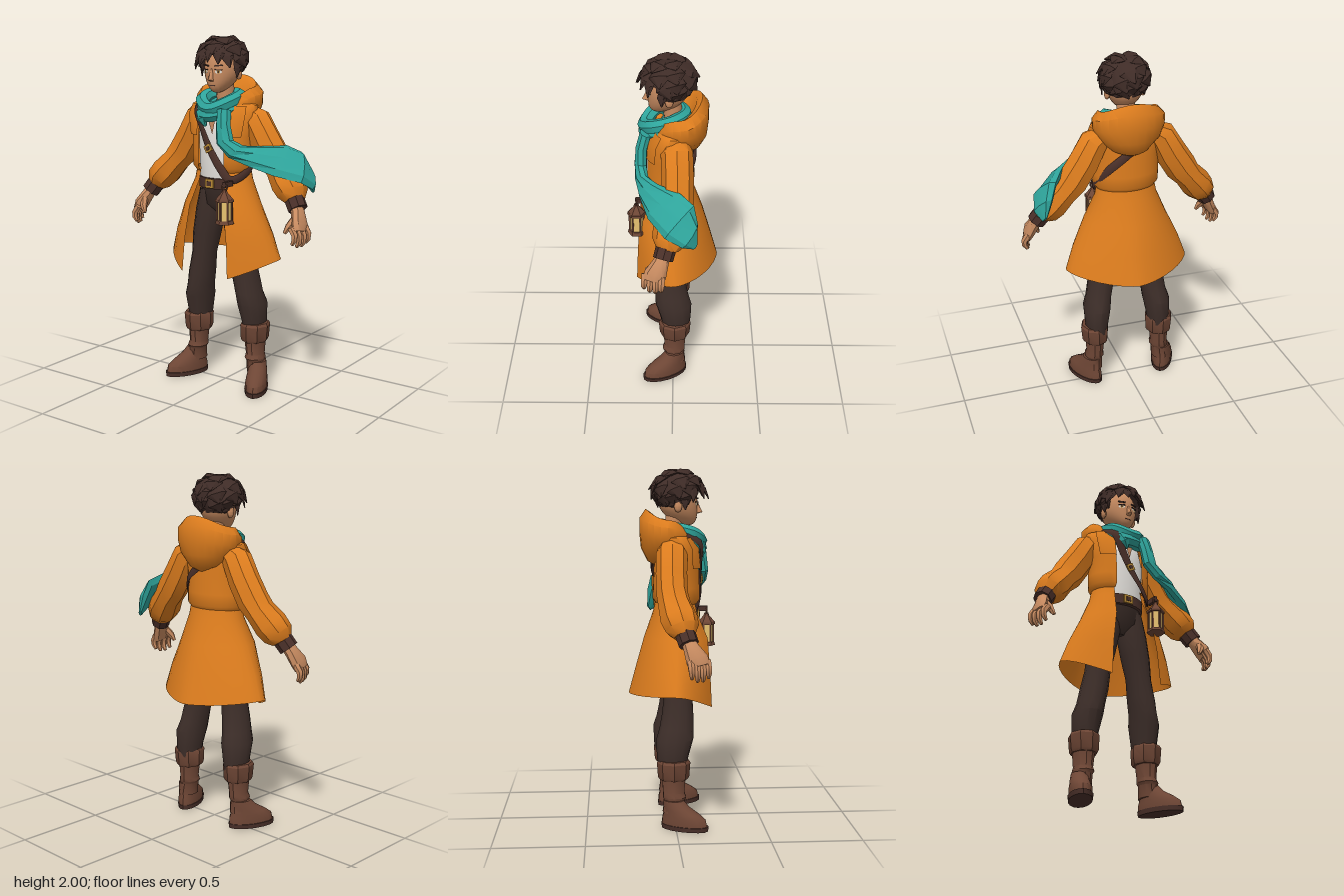
import * as THREE from 'three';
import { toCreasedNormals } from 'three/addons/utils/BufferGeometryUtils.js';

const V = (x, y, z) => new THREE.Vector3(x, y, z);
const paint = (name, color, side = THREE.FrontSide) => {
  const m = new THREE.MeshStandardMaterial({ color, side });
  m.name = name;
  return m;
};

// Skin a list of point rings; winding faces outward for rings turning about the travel direction.
function grid(rings, wrap, cap) {
  const n = rings[0].length, pos = [], idx = [];
  rings.forEach(r => r.forEach(p => pos.push(p.x, p.y, p.z)));
  for (let i = 0; i < rings.length - 1; i++) {
    for (let j = 0; j < (wrap ? n : n - 1); j++) {
      const a = i * n + j, b = i * n + (j + 1) % n, c = b + n, d = a + n;
      idx.push(a, b, d, b, c, d);
    }
  }
  if (cap) {
    const last = (rings.length - 1) * n;
    for (let j = 1; j < n - 1; j++) idx.push(0, j + 1, j, last, last + j, last + j + 1);
  }
  const g = new THREE.BufferGeometry();
  g.setAttribute('position', new THREE.Float32BufferAttribute(pos, 3));
  g.setIndex(idx);
  return g;
}

// Loft of elliptical sections [x, y, z, a, b]; "across" may fix the direction of a per section.
function loft(secs, n = 10, { ref = () => V(0, 0, 1), across, upright = false, closed = false } = {}) {
  const c = secs.map(s => V(s[0], s[1], s[2])), m = c.length;
  const rings = secs.map((s, i) => {
    const p = closed ? c[(i + m - 1) % m] : c[Math.max(i - 1, 0)];
    const q = closed ? c[(i + 1) % m] : c[Math.min(i + 1, m - 1)];
    const t = upright ? V(0, Math.sign(q.y - p.y), 0) : q.clone().sub(p).normalize();
    const u = across ? across(i) : t.clone().cross(ref(c[i])).normalize();
    const v = t.clone().cross(u).normalize();
    return Array.from({ length: n }, (_, j) => {
      const k = (j / n) * Math.PI * 2;
      return c[i].clone().addScaledVector(u, Math.cos(k) * s[3]).addScaledVector(v, Math.sin(k) * (s[4] ?? s[3]));
    });
  });
  if (closed) rings.push(rings[0]);
  return grid(rings, true, !closed);
}

// Cloth around the body, rows [y, rx, zCentre, rz, frontGap, frontLift, backLift, power], bottom to top.
function sheet(rows, n = 28, from = 0, to = 1, grow = 0) {
  return grid(rows.map(([y, rx, zc, rz, gap = 0, fl = 0, bl = 0, p = 1]) => {
    const g = Math.asin((gap / rx) ** (1 / p)), pow = a => Math.sign(a) * Math.abs(a) ** p;
    return Array.from({ length: n + 1 }, (_, j) => {
      const k = g + (from + (to - from) * j / n) * (Math.PI * 2 - 2 * g), c = Math.cos(k);
      return V((rx + grow) * pow(Math.sin(k)), y + (c > 0 ? fl : bl) * c * c, zc + (rz + grow) * pow(c));
    });
  }), false, false);
}

export function createModel() {
  const root = new THREE.Group();
  root.name = 'traveller';
  const orange = paint('orange coat', 0xdd7d1e, THREE.DoubleSide), teal = paint('teal scarf', 0x2fa59c);
  const trouser = paint('dark trousers', 0x3d2e29), hair = paint('dark hair', 0x3f2c27);
  const leather = paint('boot leather', 0x6e4635), strapBrown = paint('strap leather', 0x4a3029);
  const skin = paint('skin', 0xc98c61), white = paint('shirt white', 0xe2dfda);
  const gold = paint('brass', 0xb98a35), glass = paint('lantern glow', 0xecc673);

  const add = (name, geo, mat, crease = 0.8, parent = root) => {
    const m = new THREE.Mesh(toCreasedNormals(geo, crease), mat);
    m.name = name;
    parent.add(m);
    return m;
  };
  const box = (name, w, h, d, x, y, z, mat, parent = root) => {
    const m = add(name, new THREE.BoxGeometry(w, h, d), mat, 0.5, parent);
    m.position.set(x, y, z);
    return m;
  };
  const up = { upright: true };

  // Shirt, neck and pelvis
  add('shirt', loft([[0, 1.18, .02, .14, .108], [0, 1.45, .02, .15, .112], [0, 1.57, .01, .13, .1], [0, 1.63, 0, .06, .06]], 20, up), white);
  add('neck', loft([[0, 1.55, -.01, .06], [0, 1.65, 0, .05], [0, 1.75, .01, .052]], 12, up), skin);
  const vee = new THREE.Shape([new THREE.Vector2(-.035, 1.58), new THREE.Vector2(.005, 1.46), new THREE.Vector2(.035, 1.58)]);
  add('open collar', new THREE.ShapeGeometry(vee), skin).position.z = .136;
  add('trouser waist', loft([[0, 1.0, .02, .04, .04], [0, 1.06, .02, .135, .088], [0, 1.2, .02, .135, .105]], 16, up), trouser);
  add('belt', loft([[0, 1.155, .02, .145, .12], [0, 1.215, .02, .147, .12]], 20, up), strapBrown);
  box('belt buckle', .055, .05, .012, -.01, 1.185, .141, gold);
  box('buckle inset', .03, .026, .006, -.01, 1.185, .147, strapBrown);

  // Coat: skirt, jacket and lapels
  add('coatSkirt', sheet([[.77, .362, 0, .255, .155, -.13, -.035, 1.3], [.9, .315, .012, .225, .142, -.04, -.01, 1.2],
    [1.06, .24, .025, .19, .115, 0, 0, 1.1], [1.2, .178, .015, .13, .09], [1.27, .165, .015, .115, .085]]), orange);
  const jacket = [[1.25, .168, .02, .12, .085], [1.275, .187, .02, .137, .085], [1.34, .19, .02, .135, .085], [1.45, .192, .02, .13, .085],
    [1.56, .22, .015, .12, .09], [1.62, .205, 0, .1, .09], [1.67, .11, -.01, .08, .08]];
  add('coatJacket', sheet(jacket), orange);
  const lapel = jacket.slice(3, 6);
  add('lapelLeft', sheet(lapel, 5, 0, .1, .012), orange);
  add('lapelRight', sheet(lapel, 5, .9, 1, .012), orange);

  // Hood lying on the back
  add('hood', sheet([[1.48, .05, -.05, .05, 0, 0, -.02], [1.505, .12, -.04, .105, 0, 0, -.02], [1.56, .175, -.04, .142, 0, 0, 0],
    [1.62, .2, -.04, .15, 0, -.03, .02], [1.675, .202, -.04, .15, 0, -.08, .05], [1.715, .165, -.03, .125, 0, -.1, .06],
    [1.695, .14, -.02, .105, 0, -.08, .06], [1.62, .1, -.01, .08, 0, 0, .02]], 24), orange);

  // Limbs
  for (const s of [1, -1]) {
    const side = s > 0 ? 'Left' : 'Right';
    const limb = (name, secs, mat, n = 10, opt = {}, crease = 0.7) =>
      add(name + side, loft(secs.map(([x, ...r]) => [x * s, ...r]), n, opt), mat, crease);
    limb('sleeve', [[.13, 1.58, -.02, .05, .06], [.19, 1.54, -.02, .082, .085], [.25, 1.43, -.025, .09, .085],
      [.315, 1.33, -.025, .092, .085], [.36, 1.275, -.015, .08, .088], [.42, 1.205, .005, .09, .1], [.458, 1.16, .02, .083, .09], [.478, 1.125, .03, .055, .06]], orange, 8);
    limb('sleeveCuff', [[.458, 1.16, .025, .056], [.51, 1.083, .05, .054]], strapBrown, 8);
    limb('palm', [[.49, 1.11, .045, .034, .038], [.515, 1.07, .06, .034, .042], [.545, 1.01, .09, .033, .06], [.556, .975, .1, .022, .056]], skin, 8);
    for (let f = 0; f < 4; f++) {
      const z = .055 + f * .03, dx = f * -.01, long = f === 0 || f === 3 ? .015 : 0;
      limb('finger' + (f + 1), [[.556 + dx, 1.0, z, .02], [.581 + dx, .955 + long / 2, z + .004, .019],
        [.58 + dx, .92 + long, z + .006, .016], [.565 + dx, .895 + long, z + .006, .009]], skin, 6);
    }
    limb('thumb', [[.525, 1.05, .09, .024], [.5, 1.0, .13, .02], [.482, .965, .14, .01]], skin, 6);

    limb('trouserLeg', [[.19, .34, -.015, .06, .08], [.19, .4, -.015, .068, .088], [.183, .5, -.003, .08, .104], [.17, .56, .008, .073, .096],
      [.155, .64, .015, .076, .088], [.135, .76, .02, .07, .078], [.115, .88, .02, .082, .085], [.088, 1.02, .02, .086, .088], [.075, 1.14, .02, .07, .08]], trouser, 12, up);
    limb('bootCuff', [[.198, .275, -.01, .07, .08], [.198, .29, -.01, .078, .088], [.2, .37, -.01, .083, .094], [.2, .385, -.01, .075, .085]], leather, 8, up, .5);
    limb('bootShaft', [[.212, .09, -.01, .052, .065], [.207, .16, -.005, .05, .06], [.204, .175, -.005, .057, .068], [.202, .2, -.01, .05, .062], [.2, .3, -.01, .06, .07]], leather, 10, up);
    const foot = new THREE.Group();
    foot.name = 'foot' + side;
    foot.position.set(.222 * s, 0, -.01);
    foot.rotation.y = .43 * s;
    root.add(foot);
    add('sole', loft([[0, 0, .065, .063, .138], [0, .026, .065, .066, .141]], 16, up), strapBrown, .7, foot);
    add('shoe', loft([[0, .026, .063, .061, .135], [0, .06, .06, .062, .13], [0, .09, .045, .057, .105], [0, .125, .015, .052, .075], [0, .16, -.002, .046, .058]], 16, up), leather, .7, foot);

    // Ear, eye and brow
    const ear = add('ear' + side, new THREE.SphereGeometry(1, 8, 6), skin);
    ear.scale.set(.016, .034, .022);
    ear.position.set(.102 * s, 1.79, .02);
    const eye = new THREE.Group();
    eye.name = 'eye' + side;
    eye.position.set(.042 * s, 1.802, .128);
    eye.rotation.y = .45 * s;
    root.add(eye);
    const disc = (name, w, h, z, mat) => {
      const m = add(name, new THREE.CircleGeometry(1, 14), mat, .8, eye);
      m.scale.set(w, h, 1);
      m.position.z = z;
    };
    disc('eyeWhite', .02, .01, 0, white);
    disc('iris', .009, .01, .002, gold);
    disc('pupil', .005, .006, .004, hair);
    box('upperLid', .042, .005, .006, 0, .011, .001, hair, eye);
    box('brow', .046, .007, .008, 0, .033, -.002, hair, eye).rotation.z = .1 * s;
  }

  // Head: a ball narrowed and pushed forward towards the chin
  const skull = new THREE.SphereGeometry(1, 28, 20), sp = skull.attributes.position;
  for (let i = 0; i < sp.count; i++) {
    const y = sp.getY(i), low = y < 0 ? y * y : 0;
    sp.setXYZ(i, sp.getX(i) * .1 * (1 - .3 * low), 1.82 + y * .136, sp.getZ(i) * .11 + .025 + .055 * low);
  }
  add('head', skull, skin, 1);
  add('nose', loft([[0, 1.748, .12, .014, .012], [0, 1.757, .142, .014, .022], [0, 1.785, .136, .01, .014], [0, 1.82, .126, .007, .01]], 8, up), skin, 1);
  box('mouth', .034, .005, .008, 0, 1.727, .127, strapBrown);

  // Hair: cap plus overlapping tufts
  const hc = V(0, 1.872, .025);
  const cap = new THREE.SphereGeometry(1, 18, 10, 0, Math.PI * 2, 0, 1.85).rotateX(-.6).scale(.122, .108, .13);
  add('hairCap', cap, hair).position.copy(hc);
  const onHead = (az, el, k) => {
    const a = THREE.MathUtils.degToRad(az), e = THREE.MathUtils.degToRad(el);
    return V(Math.sin(a) * Math.sin(e) * .122, Math.cos(e) * .108, Math.cos(a) * Math.sin(e) * .13).multiplyScalar(k).add(hc);
  };
  const tuft = (p, q, w) => {
    const mid = p.clone().lerp(q, .5), out = mid.clone().sub(hc).normalize();
    mid.addScaledVector(out, .012);
    const sec = (c, a, b) => [c.x, c.y, c.z, a, b];
    add('hairTuft', loft([sec(p, w * .6, w * .2), sec(mid, w, w * .32), sec(q, .003, .003)], 6, { ref: c => c.clone().sub(hc) }), hair, .6);
  };
  // rows: [count, root angle, tip angle, reach, width, first bearing, span]
  for (const [n, r, t, k, w, start, span] of [[4, 2, 48, 1.17, .058, 20, 360], [7, 25, 80, 1.22, .06, 0, 360],
    [7, 52, 105, 1.22, .056, 68, 255], [7, 78, 128, 1.15, .052, 78, 235], [6, 100, 152, 1.12, .045, 108, 170]]) {
    for (let i = 0; i < n; i++) {
      const az = start + span * i / n, wob = Math.sin(i * 2.7 + r);
      tuft(onHead(az, r, .95), onHead(az + 16 + wob * 12, t + wob * 6, k + wob * .04), w);
    }
  }
  for (const [x, y, z, tx, ty, tz, w] of [[-.06, 1.94, .1, -.135, 1.81, .1, .036], [-.04, 1.94, .12, -.09, 1.83, .165, .036],
    [-.02, 1.94, .12, -.04, 1.83, .195, .034], [.0, 1.95, .12, .01, 1.855, .185, .03], [.04, 1.95, .11, .07, 1.845, .17, .036],
    [.06, 1.94, .1, .12, 1.825, .13, .036], [-.1, 1.88, .05, -.118, 1.77, .06, .026], [.1, 1.88, .05, .118, 1.77, .06, .026]])
    tuft(V(x, y, z), V(tx, ty, tz), w);

  // Scarf: two wraps, a short end and the long tail over the left arm
  const wrap = (name, pts, r) => add(name, new THREE.TubeGeometry(new THREE.CatmullRomCurve3(pts.map(p => V(...p)), true), 28, r, 7, true), teal, .7);
  wrap('scarfUpper', [[0, 1.6, .152], [.085, 1.635, .1], [.092, 1.665, 0], [0, 1.665, -.06], [-.092, 1.665, 0], [-.085, 1.64, .1]], .04);
  wrap('scarfLower', [[-.01, 1.565, .15], [.09, 1.595, .09], [.09, 1.63, 0], [0, 1.64, -.06], [-.09, 1.63, 0], [-.085, 1.59, .1]], .04);
  add('scarfEnd', loft([[-.06, 1.59, .15, .04, .02], [-.04, 1.55, .165, .035, .018], [-.025, 1.505, .155, .006, .008]], 6), teal, .5);
  // pairs of upper and lower edge points along the tail
  const tail = [[[.135, 1.6, .14], [.05, 1.6, .15]], [[.145, 1.52, .16], [.06, 1.52, .175]], [[.165, 1.44, .16], [.072, 1.42, .19]],
    [[.22, 1.415, .145], [.15, 1.35, .19]], [[.29, 1.41, .08], [.26, 1.315, .18]], [[.38, 1.41, -.04], [.4, 1.265, .13]],
    [[.43, 1.37, -.11], [.52, 1.225, .04]], [[.46, 1.28, -.13], [.54, 1.18, -.05]], [[.49, 1.18, -.13], [.51, 1.15, -.11]]]
    .map(e => e.map(p => V(...p)));
  const tailSecs = tail.map(([a, b], i) => [...a.clone().lerp(b, .5).toArray(), a.distanceTo(b) / 2, i === tail.length - 1 ? .01 : .032]);
  add('scarfTail', loft(tailSecs, 8, { across: i => tail[i][0].clone().sub(tail[i][1]).normalize() }), teal, .45);

  // Shoulder strap
  const strapPath = new THREE.CatmullRomCurve3([[-.1, 1.59, .142], [-.05, 1.48, .15], [0, 1.38, .152], [.07, 1.28, .152], [.125, 1.215, .13], [.182, 1.27, .03],
    [.11, 1.41, -.1], [0, 1.5, -.118], [-.1, 1.59, -.1], [-.14, 1.65, .0]].map(p => V(...p)), true);
  add('shoulderStrap', loft(strapPath.getPoints(40).slice(0, 40).map(p => [p.x, p.y, p.z, .023, .008]), 6,
    { closed: true, ref: c => V(c.x, Math.max(0, c.y - 1.58) * 2, c.z) }), strapBrown, .6);
  box('strapBuckle', .045, .04, .01, -.005, 1.385, .16, gold).rotation.z = .5;
  box('strapBuckleInset', .024, .02, .006, -.005, 1.385, .165, strapBrown).rotation.z = .5;

  // Lantern hanging from the belt
  const lantern = new THREE.Group();
  lantern.name = 'lantern';
  lantern.position.set(.135, 0, .202);
  root.add(lantern);
  const drum = (name, r1, r2, y0, y1, mat) => {
    add(name, new THREE.CylinderGeometry(r1, r2, y1 - y0, 6), mat, .4, lantern).position.y = (y0 + y1) / 2;
  };
  drum('lanternBase', .046, .052, .985, 1.005, leather);
  drum('lanternGlass', .037, .037, 1.005, 1.11, glass);
  drum('lanternRim', .05, .052, 1.108, 1.122, leather);
  drum('lanternRoof', .016, .048, 1.122, 1.16, leather);
  drum('lanternCap', .012, .016, 1.16, 1.175, leather);
  for (let i = 0; i < 6; i++) {
    const a = i * Math.PI / 3;
    box('lanternPost', .009, .11, .009, Math.sin(a) * .04, 1.057, Math.cos(a) * .04, leather, lantern);
  }
  add('lanternRing', new THREE.TorusGeometry(.017, .005, 6, 14), leather, .8, lantern).position.y = 1.187;
  box('lanternHanger', .02, .03, .07, 0, 1.2, -.03, strapBrown, lantern);
  return root;
}
